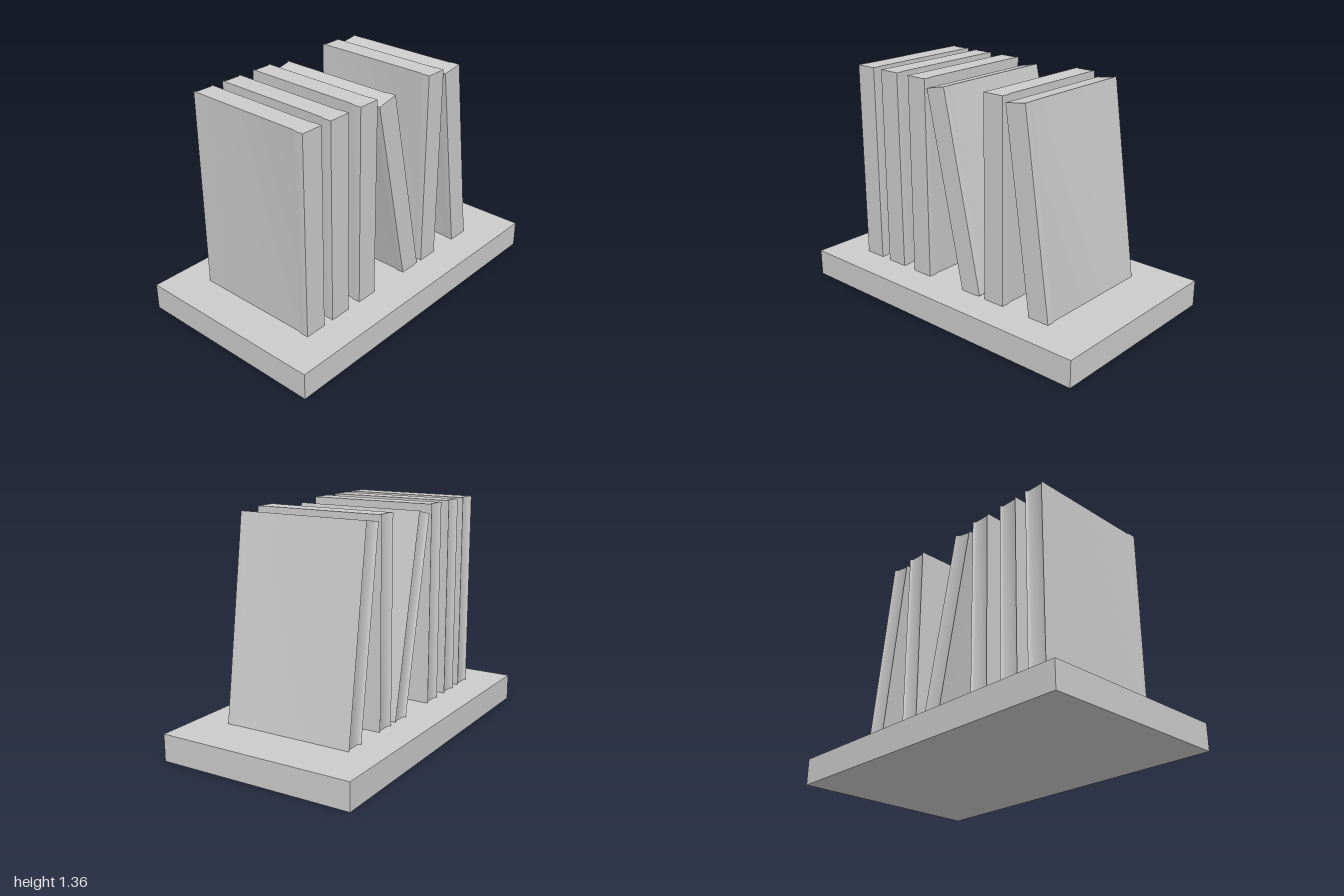
import * as THREE from 'three';
import { toCreasedNormals } from 'three/addons/utils/BufferGeometryUtils.js';

const BASE_H = 0.16;
const BOOK_H = 1.2;

// Half of the book's plan outline as [x, z], from the spine to the hollow fore edge
const HALF = [
  [0.067, 0.4], [0.067, 0.357], [0.061, 0.33],
  [0.061, -0.4], [0.057, -0.392], [0.048, -0.385],
];

function bookGeometry() {
  const mirrored = HALF.map(([x, z]) => [-x, z]).reverse();
  const outline = [...HALF, ...mirrored].map(([x, z]) => new THREE.Vector2(x, -z));
  const geometry = new THREE.ExtrudeGeometry(new THREE.Shape(outline), { depth: BOOK_H, bevelEnabled: false });
  geometry.rotateX(-Math.PI / 2); // stand it up, origin at the middle of the foot
  return toCreasedNormals(geometry, THREE.MathUtils.degToRad(60));
}

export function createModel() {
  const model = new THREE.Group();
  model.name = 'booksOnShelf';
  const material = new THREE.MeshStandardMaterial({ color: 0xcccccc });

  // Shelf board
  const shelf = new THREE.Mesh(new THREE.BoxGeometry(2, BASE_H, 1.2), material);
  shelf.name = 'shelf';
  shelf.position.y = BASE_H / 2;
  model.add(shelf);

  // Books: foot position and lean in degrees
  const books = [
    { x: -0.7, y: BASE_H, lean: 0 },
    { x: -0.5, y: BASE_H, lean: 0 },
    { x: -0.275, y: BASE_H, lean: 0 },
    { x: 0.129, y: 0.152, lean: 12.2 },
    { x: 0.302, y: BASE_H, lean: 0 },
    { x: 0.627, y: 0.151, lean: 8.25 },
  ];
  const geometry = bookGeometry();
  books.forEach(({ x, y, lean }, i) => {
    const book = new THREE.Mesh(geometry, material);
    book.name = `${lean ? 'leaningBook' : 'uprightBook'}${i + 1}`;
    book.position.set(x, y, 0);
    book.rotation.z = THREE.MathUtils.degToRad(lean);
    model.add(book);
  });

  return model;
}
